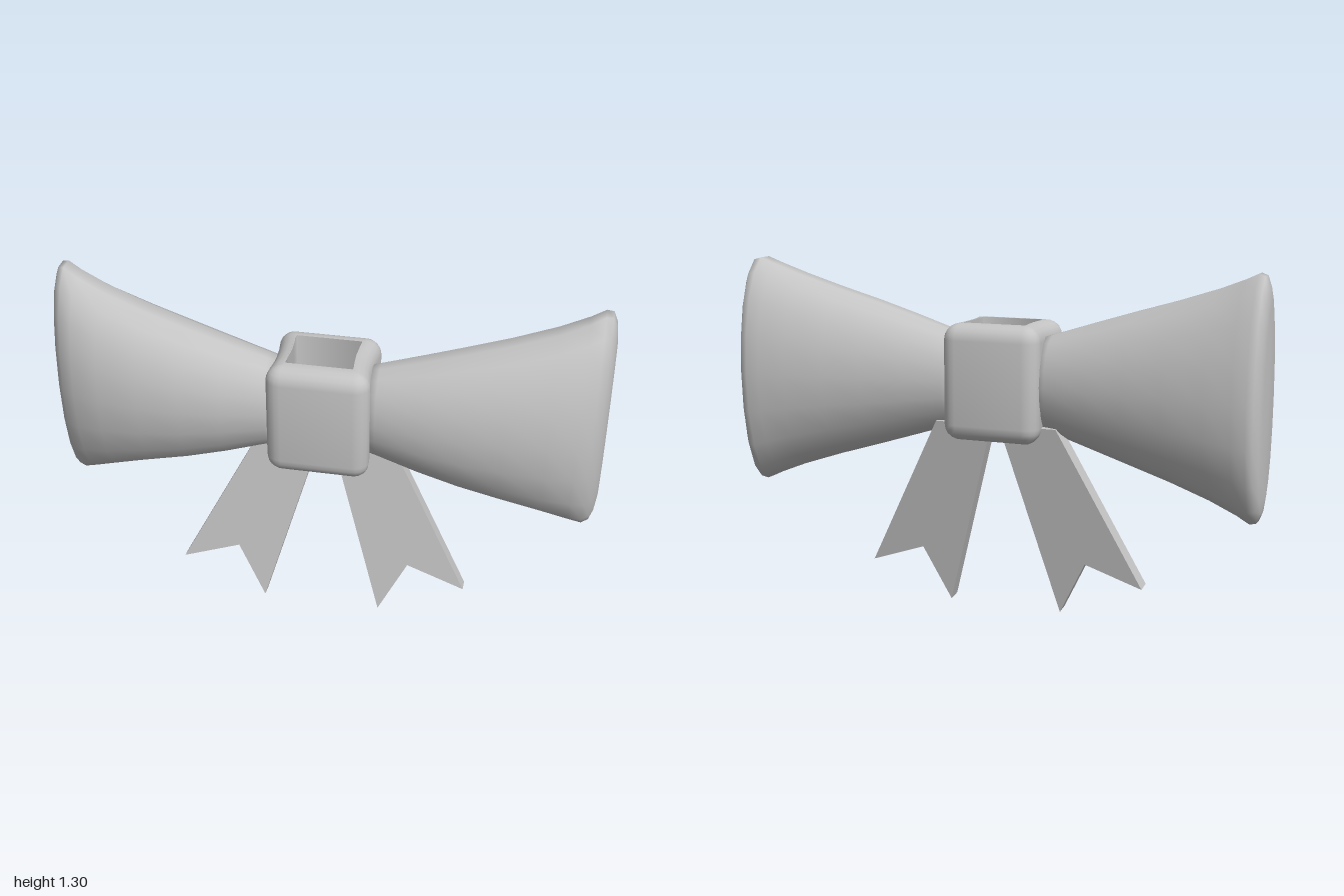
import * as THREE from 'three';
import { toCreasedNormals } from 'three/addons/utils/BufferGeometryUtils.js';

const grey = new THREE.MeshStandardMaterial({ color: 0xc4c4c4 });
grey.name = 'grey cloth';

// Joins rings of points into a smooth skin; wrap also joins the last ring to the first.
function skin(rings, wrap = false) {
  const n = rings[0].length, index = [];
  const count = wrap ? rings.length : rings.length - 1;
  for (let i = 0; i < count; i++) {
    const p = i * n, q = ((i + 1) % rings.length) * n;
    for (let j = 0; j < n; j++) {
      const k = (j + 1) % n;
      index.push(p + j, p + k, q + k, p + j, q + k, q + j);
    }
  }
  const geometry = new THREE.BufferGeometry();
  geometry.setAttribute('position', new THREE.Float32BufferAttribute(rings.flat(2), 3));
  geometry.setIndex(index);
  geometry.computeVertexNormals();
  return geometry;
}

// Puffed bow loop: elliptical sections [x, half height, back z, front z]
function bowLoop(side) {
  const sections = [
    [0.14, 0, 0.03, 0.03], [0.14, 0.165, -0.08, 0.14], [0.2, 0.182, -0.092, 0.152],
    [0.35, 0.23, -0.12, 0.182], [0.5, 0.277, -0.145, 0.197], [0.65, 0.322, -0.17, 0.197],
    [0.8, 0.372, -0.192, 0.183], [0.9, 0.412, -0.203, 0.155], [0.95, 0.436, -0.205, 0.125],
    [0.975, 0.428, -0.198, 0.095], [0.99, 0.39, -0.175, 0.06], [0.998, 0.33, -0.14, 0.025],
    [1, 0, -0.05, -0.05],
  ];
  const sides = 18;
  return skin(sections.map(([x, h, back, front]) =>
    Array.from({ length: sides }, (_, j) => {
      const a = ((j + 0.5) / sides) * Math.PI * 2;
      return [side * x, 0.872 + h * Math.cos(a),
        (back + front) / 2 + side * ((front - back) / 2) * Math.sin(a)];
    })));
}

// Rounded rectangular band around the y axis, inset from the knot's outside
function knotRing(inset, y) {
  const hx = 0.188 - inset, hz = 0.165 - inset, r = Math.max(0.06 - inset, 0.004);
  const ring = [];
  const add = (x, z) => {
    // the sides are squeezed in a little where the loops meet the knot
    const squeeze = inset < 0.06 ? 0.014 * Math.max(0, 1 - (z / 0.13) ** 2) : 0;
    ring.push([x - Math.sign(x) * squeeze, y, z + 0.036]);
  };
  for (let k = 0; k < 4; k++) {
    const sx = k < 2 ? 1 : -1, sz = k === 0 || k === 3 ? 1 : -1;
    for (let i = 0; i <= 5; i++) {
      const a = (k + i / 5) * Math.PI / 2;
      add(sx * (hx - r) + r * Math.sin(a), sz * (hz - r) + r * Math.cos(a));
    }
    if (k % 2 === 0) for (const t of [0.5, 0, -0.5]) add(sx * hx, sz * t * (hz - r));
  }
  return ring;
}

// Hollow knot, open at the top and bottom
function knot() {
  const low = 0.66, high = 1.09, r = 0.06, profile = [];
  for (let i = 0; i <= 5; i++) {
    const a = (i / 5) * Math.PI / 2;
    profile.push([r - r * Math.sin(a), low + r - r * Math.cos(a)]);
  }
  for (let i = 0; i <= 5; i++) {
    const a = (i / 5) * Math.PI / 2;
    profile.push([r - r * Math.cos(a), high - r + r * Math.sin(a)]);
  }
  profile.push([0.069, high], [0.069, low]);
  return toCreasedNormals(skin(profile.map(([d, y]) => knotRing(d, y)), true), 0.9);
}

// Ribbon tail with a notched end
function ribbonTail(side) {
  const outline = [[0.015, 0.725], [0.222, 0], [0.327, 0.207], [0.543, 0.131], [0.235, 0.725]];
  const shape = new THREE.Shape(outline.map(([x, y]) => new THREE.Vector2(side * x, y)));
  return new THREE.ExtrudeGeometry(shape, { depth: 0.055, bevelEnabled: false });
}

export function createModel() {
  const model = new THREE.Group();
  model.name = 'bow';
  const add = (name, geometry) => {
    const mesh = new THREE.Mesh(geometry, grey);
    mesh.name = name;
    model.add(mesh);
    return mesh;
  };
  add('knot', knot());
  for (const [name, side] of [['left', 1], ['right', -1]]) {
    add(name + 'Loop', bowLoop(side));
    const tail = add(name + 'Tail', ribbonTail(side));
    tail.position.z = 0.05;
    tail.rotation.x = -0.142;
  }
  return model;
}
